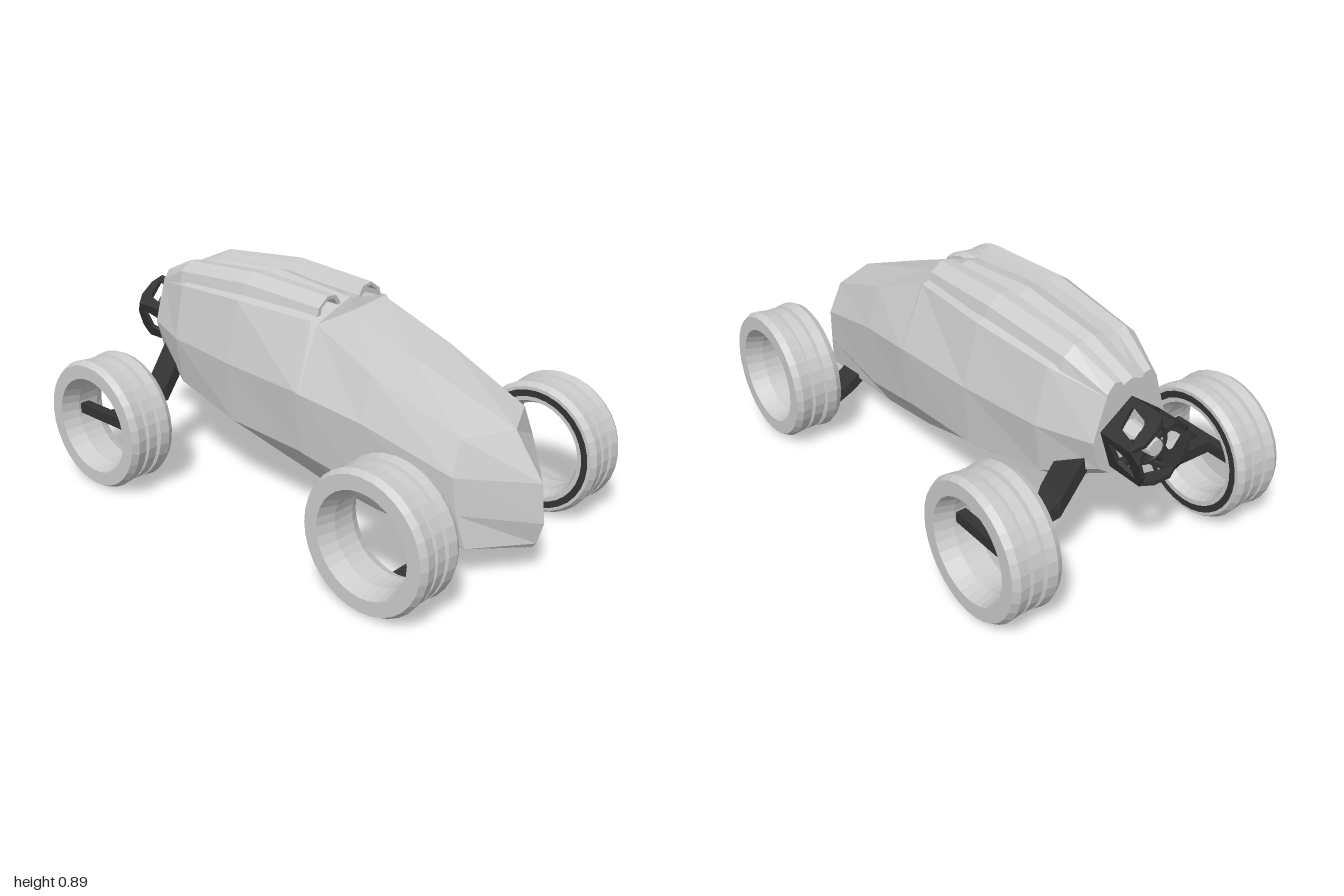
import * as THREE from 'three';

const grey = new THREE.MeshStandardMaterial({ color: 0xcccccc, flatShading: true, side: THREE.DoubleSide });
const dark = new THREE.MeshStandardMaterial({ color: 0x333333, flatShading: true, side: THREE.DoubleSide });

function add(parent, name, geometry, material) {
  const mesh = new THREE.Mesh(geometry, material);
  mesh.name = name;
  parent.add(mesh);
  return mesh;
}

// Skin closed rings of [x, y, z] points and cap both ends
function loft(rings) {
  const out = [];
  const n = rings[0].length;
  const tri = (...pts) => pts.forEach((p) => out.push(...p));
  for (let r = 0; r < rings.length - 1; r++) {
    for (let i = 0; i < n; i++) {
      const j = (i + 1) % n, a = rings[r], b = rings[r + 1];
      tri(a[i], a[j], b[j]);
      tri(a[i], b[j], b[i]);
    }
  }
  const cap = (ring, front) => {
    const c = [0, 1, 2].map((k) => ring.reduce((sum, p) => sum + p[k], 0) / n);
    for (let i = 0; i < n; i++) {
      const p = ring[i], q = ring[(i + 1) % n];
      if (front) tri(c, p, q); else tri(c, q, p);
    }
  };
  cap(rings[0], false);
  cap(rings[rings.length - 1], true);
  const g = new THREE.BufferGeometry();
  g.setAttribute('position', new THREE.Float32BufferAttribute(out, 3));
  g.computeVertexNormals();
  return g;
}

// Full body ring from a half section: bottom centre, four side points, top centre
const mirrorRing = (half) => [...half, ...half.slice(1, -1).reverse().map(([x, y, z]) => [-x, y, z])];

function bodyGeometry() {
  // z, bottom y, bottom edge, lower side, widest side, top edge (x, y each), top y
  const sections = [
    [-0.83, 0.42, 0.08, 0.425, 0.13, 0.46, 0.16, 0.57, 0.11, 0.73, 0.77],
    [-0.62, 0.30, 0.13, 0.32, 0.21, 0.37, 0.24, 0.565, 0.19, 0.775, 0.84],
    [-0.27, 0.21, 0.15, 0.23, 0.265, 0.32, 0.285, 0.56, 0.225, 0.80, 0.875],
    [0.10, 0.15, 0.18, 0.17, 0.28, 0.31, 0.305, 0.555, 0.21, 0.80, 0.84],
    [0.12, 0.15, 0.18, 0.165, 0.28, 0.305, 0.304, 0.55, 0.20, 0.79, 0.795],
    [0.40, 0.12, 0.19, 0.14, 0.26, 0.25, 0.28, 0.51, 0.222, 0.675, 0.685],
  ];
  const halves = sections.map(([z, ey, dx, dy, cx, cy, bx, by, ax, ay, ty]) =>
    [[0, ey, z], [dx, dy, z], [cx, cy, z], [bx, by, z], [ax, ay, z], [0, ty, z]]);
  // Nose edge, then the pointed centre line
  halves.push([[0, 0.115, 0.955], [0.215, 0.145, 0.82], [0.232, 0.27, 0.79],
    [0.24, 0.41, 0.775], [0.19, 0.535, 0.765], [0, 0.535, 0.86]]);
  halves.push([[0, 0.115, 0.955], [0, 0.135, 0.97], [0, 0.22, 0.995],
    [0, 0.37, 0.98], [0, 0.535, 0.86], [0, 0.535, 0.86]]);
  return loft(halves.map(mirrorRing));
}

// Faceted roof rail with a recessed front intake
function railGeometry(side) {
  const profile = [[0.05, 0.79], [0.055, 0.85], [0.08, 0.885], [0.13, 0.89], [0.18, 0.855], [0.195, 0.80]];
  const stations = [
    // z, width scale, y shift, inset
    [-0.83, 0.6, -0.115, 1], [-0.66, 0.86, -0.037, 1], [-0.27, 1, 0, 1],
    [0.1, 0.94, -0.018, 1], [0.1, 0.94, -0.018, 0.72], [0.05, 0.94, -0.018, 0.66],
  ];
  return loft(stations.map(([z, sx, dy, inset]) => {
    const ring = profile.map(([x, y]) => [
      side * sx * (0.12 + (x - 0.12) * inset), 0.845 + (y - 0.845) * inset + dy, z]);
    return side > 0 ? ring.reverse() : ring;
  }));
}

// Bent suspension arm: points are [x, y, half height, half depth]
function armGeometry(side, z, points) {
  return loft(points.map(([x, y, h, d]) => {
    const ring = [[-h, -d], [h, -d], [h, d], [-h, d]].map(([a, b]) => [side * x, y + a, z + b]);
    return side > 0 ? ring : ring.reverse();
  }));
}

function makeWheel(side) {
  const wheel = new THREE.Group();
  // Closed tyre section: tread with two grooves, outer face, tapered bore
  const profile = [
    [0.175, -0.06], [0.195, -0.1], [0.25, -0.1], [0.264, -0.075], [0.259, -0.036], [0.243, -0.03],
    [0.243, -0.025], [0.257, -0.019], [0.257, 0.019], [0.243, 0.025], [0.243, 0.03], [0.259, 0.036],
    [0.264, 0.075], [0.25, 0.1], [0.195, 0.1], [0.175, 0.03], [0.175, -0.06],
  ].map(([r, h]) => new THREE.Vector2(r, h));
  const tyre = new THREE.LatheGeometry(profile, 32);
  tyre.rotateZ(-side * Math.PI / 2);
  add(wheel, 'tyre', tyre, grey);
  const ring = new THREE.RingGeometry(0.212, 0.238, 32);
  ring.rotateY(-side * Math.PI / 2);
  add(wheel, 'innerSeal', ring, dark).position.x = -side * 0.102;
  return wheel;
}

// Five-sided open cage around the rear motor
function makeMotor() {
  const motor = new THREE.Group();
  motor.name = 'motor';
  const panel = new THREE.Shape([[-0.08, 0], [0.08, 0], [0.08, 0.145], [0.035, 0.17], [-0.035, 0.17], [-0.08, 0.145]]
    .map((p) => new THREE.Vector2(...p)));
  panel.holes.push(new THREE.Path([[-0.052, 0.03], [-0.03, 0.115], [0.052, 0.135], [0.03, 0.05]]
    .map((p) => new THREE.Vector2(...p))));
  for (let i = 0; i < 5; i++) {
    const g = new THREE.ExtrudeGeometry(panel, { depth: 0.016, bevelEnabled: false });
    g.rotateX(-Math.PI / 2);
    g.translate(0, 0.095, 0);
    g.rotateZ((i + 0.5) * Math.PI * 2 / 5);
    add(motor, 'cagePanel', g, dark);
    const spoke = new THREE.BoxGeometry(0.018, 0.08, 0.025);
    spoke.translate(0, 0.075, -0.09);
    spoke.rotateZ(i * Math.PI * 2 / 5);
    add(motor, 'motorSpoke', spoke, dark);
  }
  const core = new THREE.CylinderGeometry(0.03, 0.045, 0.13, 12);
  core.rotateX(-Math.PI / 2);
  add(motor, 'motorCore', core, grey).position.z = -0.065;
  add(motor, 'motorRing', new THREE.TorusGeometry(0.07, 0.008, 6, 20), dark).position.z = -0.1;
  motor.position.set(0, 0.563, -0.83);
  return motor;
}

export function createModel() {
  const model = new THREE.Group();
  model.name = 'racer';
  add(model, 'body', bodyGeometry(), grey);
  model.add(makeMotor());
  for (const side of [1, -1]) {
    const label = side > 0 ? 'left' : 'right';
    add(model, label + 'RoofRail', railGeometry(side), grey);
    for (const [name, z] of [['Front', 0.68], ['Rear', -0.73]]) {
      const wheel = makeWheel(side);
      wheel.name = label + name + 'Wheel';
      wheel.position.set(side * 0.5, 0.265, z);
      model.add(wheel);
    }
    // Front arms dip to the tyre bottom; rear arms drop to the axle
    add(model, label + 'FrontArm', armGeometry(side, 0.68,
      [[0.16, 0.17, 0.025, 0.055], [0.24, 0.115, 0.025, 0.055], [0.31, 0.05, 0.021, 0.025], [0.43, 0.05, 0.021, 0.025]]), dark);
    add(model, label + 'RearArm', armGeometry(side, -0.73,
      [[0.14, 0.47, 0.04, 0.055], [0.25, 0.32, 0.035, 0.055], [0.31, 0.268, 0.022, 0.025], [0.5, 0.268, 0.022, 0.025]]), dark);
    // Cross bar spanning the rear hub
    add(model, label + 'RearCrossBar', new THREE.BoxGeometry(0.04, 0.042, 0.36), dark)
      .position.set(side * 0.5, 0.268, -0.73);
  }
  return model;
}
